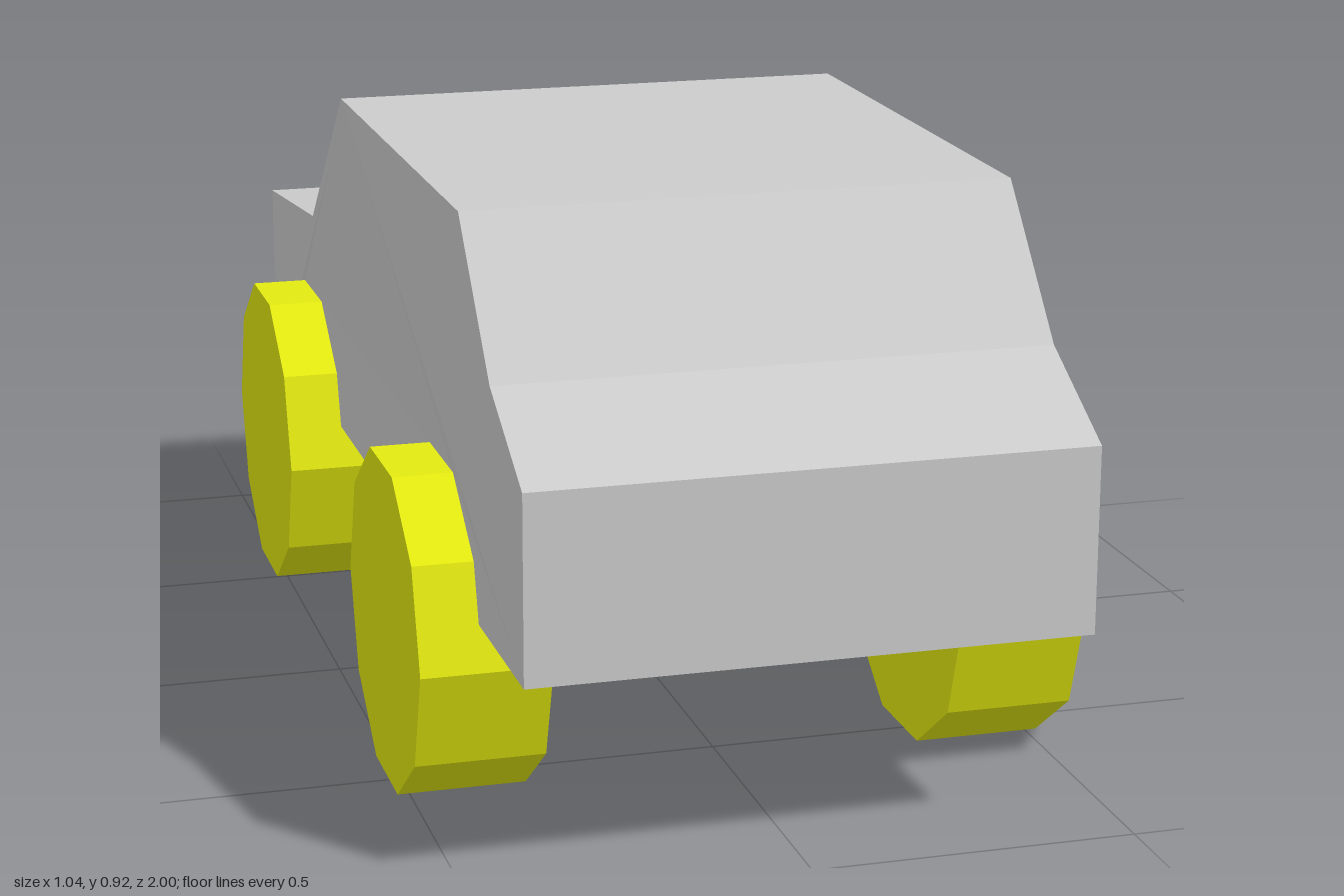
import * as THREE from 'three';

const mat = (color) => new THREE.MeshStandardMaterial({ color, flatShading: true });

const HALF = 0.425;      // half body width
const WELL = 0.28;       // inner wall of the wheel wells
const WHEEL_R = 0.265, WHEEL_Y = 0.2525;
const AXLES = [0.48, -0.585];
const RECESS = 0.016;    // depth of the window recess

// windscreen plane: foot, head, direction up the slope and outward normal
const foot = new THREE.Vector3(0, 0.645, -0.57);
const head = new THREE.Vector3(0, 0.925, -0.21);
const up = head.clone().sub(foot).normalize();
const normal = new THREE.Vector3(0, up.z, -up.y);
const slope = foot.distanceTo(head);

// the roof edge over the windscreen leans slightly to the right
function lean(geo) {
  const p = geo.attributes.position;
  for (let i = 0; i < p.count; i++) {
    if (p.getZ(i) < 0 && p.getY(i) > foot.y) {
      p.setX(i, p.getX(i) - 0.012 * (p.getY(i) - foot.y) / (head.y - foot.y));
    }
  }
  geo.computeVertexNormals();
  return geo;
}

// side profile as (z, y), optionally with wheel wells cut in the bottom edge
function profile(withWells) {
  const sink = (v) => v.clone().addScaledVector(normal, -RECESS);
  const lo = sink(foot), hi = sink(head);
  const pts = [
    [1, 0.32], [1, 0.605], [0.81, 0.705], [0.62, 0.915],
    [head.z, head.y], [hi.z, hi.y], [lo.z, lo.y], [foot.z, foot.y],
    [-1, 0.6], [-1, 0.32],
  ];
  if (withWells) {
    for (const z of [...AXLES].reverse()) {
      pts.push([z - 0.243, 0.32], [z - 0.214, 0.408], [z - 0.082, 0.5045],
        [z + 0.082, 0.5045], [z + 0.214, 0.408], [z + 0.243, 0.32]);
    }
  }
  return new THREE.Shape(pts.map(([z, y]) => new THREE.Vector2(z, y)));
}

// slice of the body between two x positions
function bodySlice(name, x0, x1, withWells, material) {
  const geo = new THREE.ExtrudeGeometry(profile(withWells), { depth: x1 - x0, bevelEnabled: false });
  geo.rotateY(-Math.PI / 2).translate(x1, 0, 0);
  const mesh = new THREE.Mesh(lean(geo), material);
  mesh.name = name;
  return mesh;
}

const rect = (x0, y0, x1, y1, Type = THREE.Shape) => new Type([
  new THREE.Vector2(x0, y0), new THREE.Vector2(x1, y0),
  new THREE.Vector2(x1, y1), new THREE.Vector2(x0, y1),
]);

// lay flat geometry on the windscreen plane, a given height above its foot
function ontoWindscreen(geo, height) {
  const m = new THREE.Matrix4().makeBasis(new THREE.Vector3(-1, 0, 0), up, normal);
  m.setPosition(foot.clone().addScaledVector(normal, height));
  return lean(geo.applyMatrix4(m));
}

export function createModel() {
  const car = new THREE.Group();
  car.name = 'car';
  const grey = mat(0xcccccc), yellow = mat(0xe2e910), cyan = mat(0x0fdee8);

  // body: solid centre, flanks with wheel wells
  const body = new THREE.Group();
  body.name = 'body';
  body.add(bodySlice('bodyCentre', -WELL, WELL, false, grey));
  body.add(bodySlice('leftFlank', WELL, HALF, true, grey));
  body.add(bodySlice('rightFlank', -HALF, -WELL, true, grey));
  car.add(body);

  // windscreen frame and recessed pane
  const opening = [-0.326, 0.07, 0.334, 0.387];
  const frameShape = rect(-HALF, 0, HALF, slope);
  frameShape.holes.push(rect(...opening, THREE.Path));
  const frameGeo = new THREE.ExtrudeGeometry(frameShape, { depth: RECESS, bevelEnabled: false });
  const frame = new THREE.Mesh(ontoWindscreen(frameGeo, -RECESS), grey);
  frame.name = 'windscreenFrame';
  const paneGeo = new THREE.ShapeGeometry(rect(...opening));
  const pane = new THREE.Mesh(ontoWindscreen(paneGeo, -RECESS + 0.002), cyan);
  pane.name = 'windscreen';
  car.add(frame, pane);

  // four ten-sided wheels
  const wheelGeo = new THREE.CylinderGeometry(WHEEL_R, WHEEL_R, 0.2, 10).rotateZ(Math.PI / 2);
  AXLES.forEach((z, i) => {
    for (const side of [-1, 1]) {
      const wheel = new THREE.Mesh(wheelGeo, yellow);
      wheel.name = (side > 0 ? 'left' : 'right') + (i === 0 ? 'Front' : 'Back') + 'Wheel';
      wheel.position.set(side * 0.418, WHEEL_Y, z);
      car.add(wheel);
    }
  });
  return car;
}
